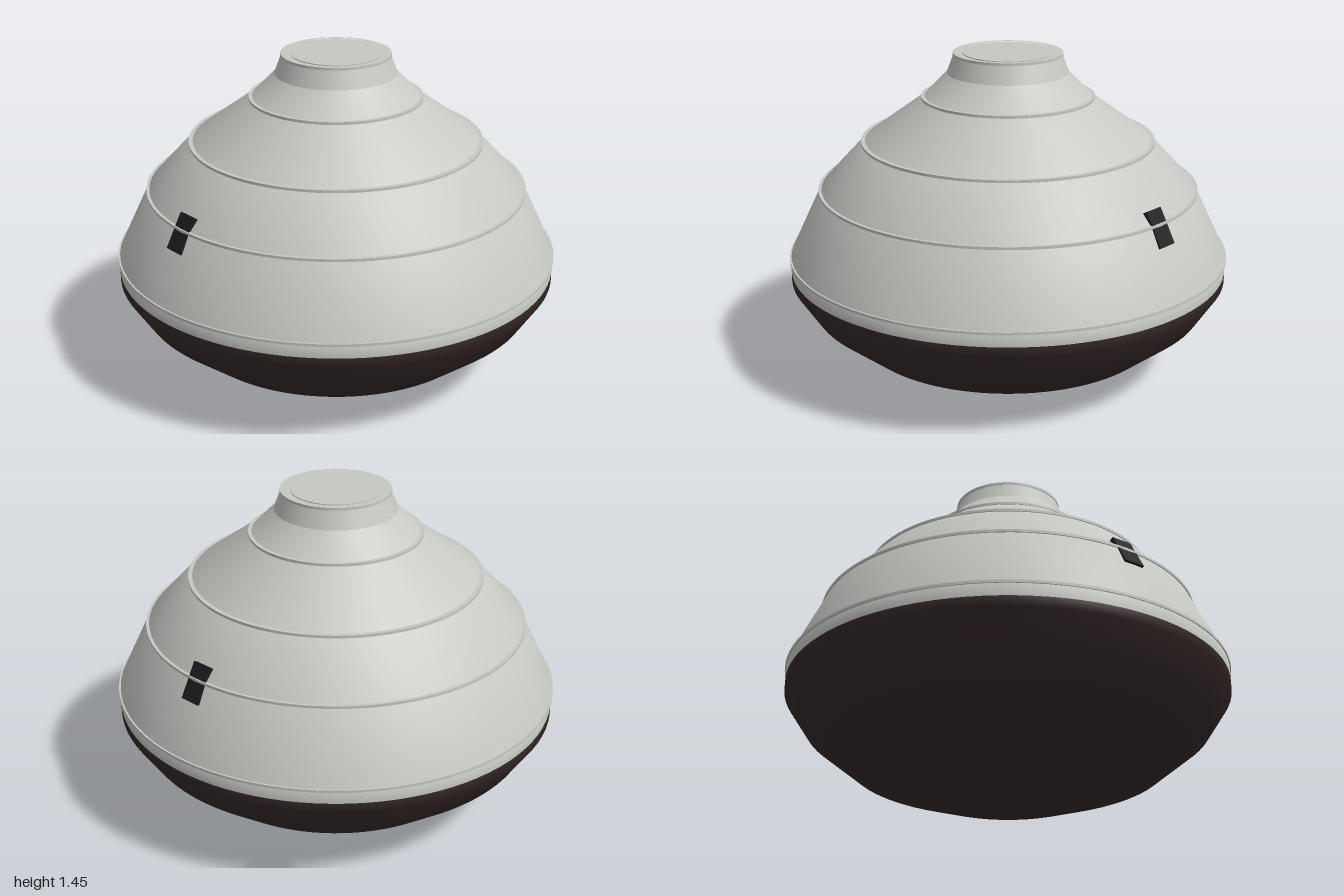
import * as THREE from 'three';

const SEGMENTS = 96;

export function createModel() {
  const model = new THREE.Group();
  const shellGrey = new THREE.MeshStandardMaterial({ color: 0xc6c8c3 });
  const shieldBrown = new THREE.MeshStandardMaterial({ color: 0x382a2a });
  const panelBlack = new THREE.MeshStandardMaterial({ color: 0x1c1d1f });

  const add = (name, geometry, material) => {
    const mesh = new THREE.Mesh(geometry, material);
    mesh.name = name;
    model.add(mesh);
    return mesh;
  };
  // Profiles run from bottom to top as [radius, height]
  const lathe = (name, profile, material) =>
    add(name, new THREE.LatheGeometry(profile.map(([r, y]) => new THREE.Vector2(r, y)), SEGMENTS), material);

  // Rounded dark underside
  lathe('heatShield', [[0, 0.005], [0.42, 0.025], [0.7, 0.125], [0.9, 0.285], [0.995, 0.43], [0.995, 0.475]], shieldBrown);

  // Upper shell, with the neck kept separate for a sharp edge
  lathe('shell', [[0.995, 0.475], [0.995, 0.535], [0.85, 0.84], [0.65, 1.055], [0.38, 1.25], [0.272, 1.36]], shellGrey);
  lathe('neck', [[0.272, 1.36], [0.24, 1.445]], shellGrey);

  // Flat top with a slightly raised hatch
  lathe('topRim', [[0.24, 1.445], [0, 1.445]], shellGrey);
  const hatch = add('hatch', new THREE.CylinderGeometry(0.2, 0.2, 0.006, SEGMENTS), shellGrey);
  hatch.position.y = 1.446;

  // Thin seam bands where the shell changes slope
  for (const [r, y] of [[1, 0.535], [0.858, 0.84], [0.66, 1.055], [0.388, 1.252], [0.245, 1.445]]) {
    const inner = r - 0.022;
    const h = 0.006;
    const section = [[inner, y - h], [r, y - h], [r, y + h], [inner, y + h]];
    // Each face is its own lathe strip, so the edges stay sharp
    for (let i = 0; i < 3; i++) lathe('seamBand', [section[i], section[i + 1]], shellGrey);
  }

  // Tilted dark panels on both sides
  for (const side of [-1, 1]) {
    const panel = add('sidePanel', new THREE.BoxGeometry(0.024, 0.163, 0.096), panelBlack);
    panel.position.set(side * 0.8495, 0.824, 0);
    panel.rotation.z = side * 0.505;
  }

  return model;
}
